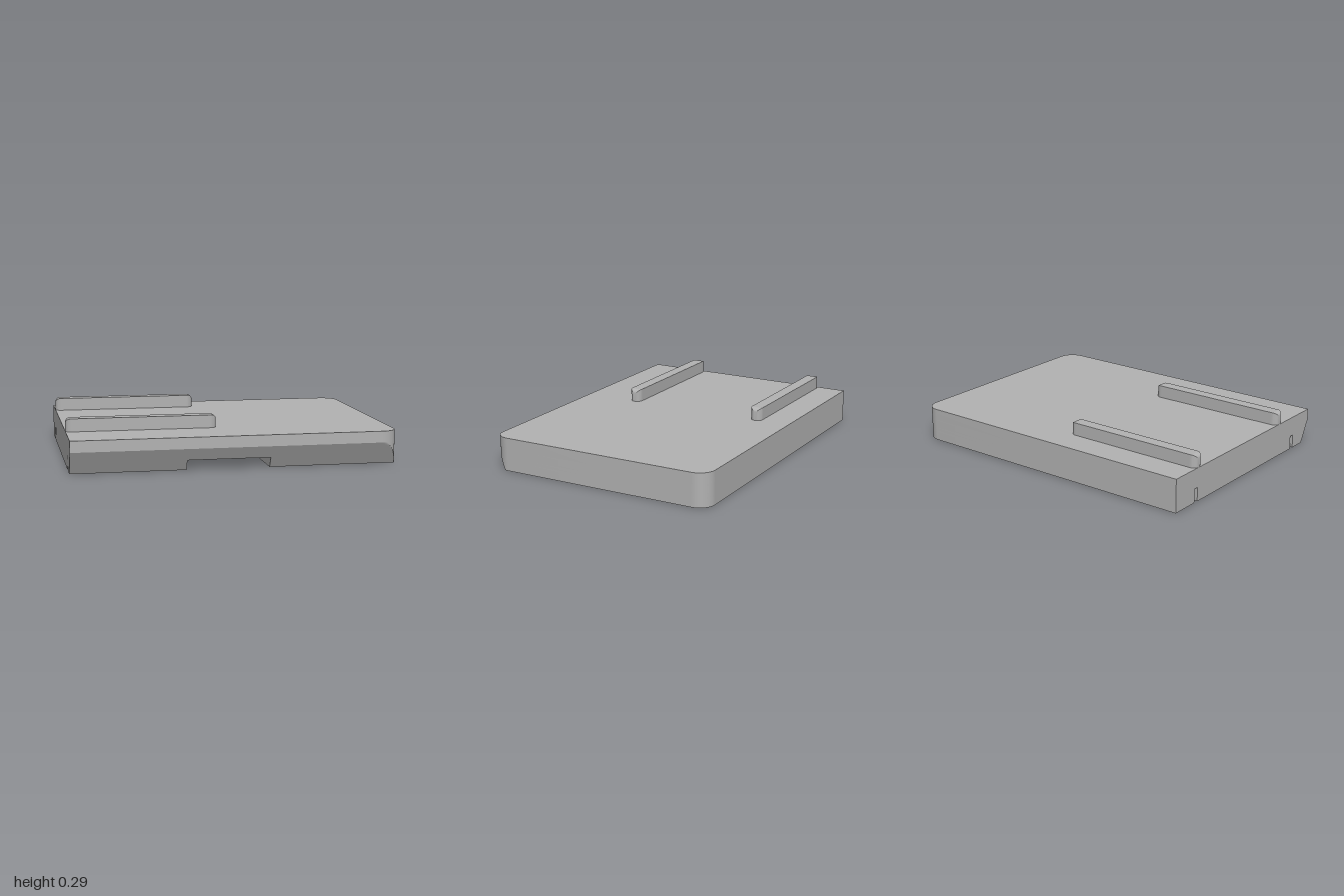
import * as THREE from 'three';
import { toCreasedNormals } from 'three/addons/utils/BufferGeometryUtils.js';

const HALF_Z = 0.74, CORNER = 0.1, TOP = 0.21, CHAMFER_Y = 0.14, CHAMFER_Z = 0.075;
const SLOT_Z = 0.54;

// Plan outline of the plate; shape y is -z.
function plateOutline(recess, slots) {
  const s = new THREE.Shape();
  const to = (x, z) => s.lineTo(x, -z);
  s.moveTo(-1, -HALF_Z);
  if (recess) {
    to(-0.3, HALF_Z);
    to(-0.3, -0.49);
    to(0.21, -0.49);
    to(0.21, HALF_Z);
  }
  to(1 - CORNER, HALF_Z);
  s.absarc(1 - CORNER, -HALF_Z + CORNER, CORNER, -Math.PI / 2, 0, false);
  to(1, -HALF_Z + CORNER);
  s.absarc(1 - CORNER, HALF_Z - CORNER, CORNER, 0, Math.PI / 2, false);
  to(-1, -HALF_Z);
  if (slots) {
    // T-shaped keyhole notches in the straight end
    for (const z of [-SLOT_Z, SLOT_Z]) {
      to(-1, z - 0.015);
      to(-0.97, z - 0.015);
      to(-0.97, z - 0.033);
      to(-0.94, z - 0.033);
      to(-0.94, z + 0.033);
      to(-0.97, z + 0.033);
      to(-0.97, z + 0.015);
      to(-1, z + 0.015);
    }
  }
  s.closePath();
  return s;
}

// One horizontal layer of the plate, trimmed by the sloping front underside.
function plateLayer(shape, y0, y1, steps) {
  const geo = new THREE.ExtrudeGeometry(shape, { depth: y1 - y0, steps, bevelEnabled: false, curveSegments: 16 });
  geo.rotateX(-Math.PI / 2);
  geo.translate(0, y0, 0);
  const p = geo.attributes.position;
  for (let i = 0; i < p.count; i++) {
    const limit = HALF_Z - CHAMFER_Z * Math.max(0, 1 - p.getY(i) / CHAMFER_Y);
    p.setZ(i, Math.min(p.getZ(i), limit));
  }
  return toCreasedNormals(geo, 0.4);
}

// Rail with round ends in plan and rounded upper end corners.
function railGeometry(length, height, width, fillet) {
  const geo = new THREE.BoxGeometry(2, 1, 1, 48, 1, 1);
  const p = geo.attributes.position;
  const r = width / 2;
  for (let i = 0; i < p.count; i++) {
    const x = (length / 2) * Math.sin(p.getX(i) * Math.PI / 2);
    const fromEnd = Math.max(0, length / 2 - Math.abs(x));
    const a = Math.max(0, r - fromEnd), b = Math.max(0, fillet - fromEnd);
    const half = Math.sqrt(Math.max(0, r * r - a * a));
    const h = height - fillet + Math.sqrt(Math.max(0, fillet * fillet - b * b));
    p.setXYZ(i, x, p.getY(i) > 0 ? h : 0, Math.sign(p.getZ(i)) * half);
  }
  return toCreasedNormals(geo, 0.5);
}

export function createModel() {
  const model = new THREE.Group();
  const grey = new THREE.MeshStandardMaterial({ color: 0xb2b2b2 });
  grey.name = 'grey';
  const add = (name, geo) => {
    const mesh = new THREE.Mesh(geo, grey);
    mesh.name = name;
    model.add(mesh);
    return mesh;
  };

  // Screw holes open into the ceiling of the underside recess
  const drilled = (slots) => {
    const s = plateOutline(false, slots);
    for (const x of [-0.2, 0.1]) for (const z of [-0.41, 0.21]) {
      s.holes.push(new THREE.Path().absarc(x, -z, 0.022, 0, Math.PI * 2, true));
    }
    return s;
  };

  // Plate, from the underside up
  add('plateRecessLayer', plateLayer(plateOutline(true, true), 0, 0.065, 6));
  add('plateSlotLayer', plateLayer(drilled(true), 0.065, 0.087, 3));
  add('plateHoleLayer', plateLayer(drilled(false), 0.087, CHAMFER_Y, 6));
  add('plateTop', plateLayer(plateOutline(false, false), CHAMFER_Y, TOP, 1));

  // Two raised rails
  const rail = railGeometry(0.93, 0.08, 0.076, 0.03);
  for (const [name, z] of [['frontRail', 0.38], ['backRail', -0.513]]) {
    add(name, rail).position.set(-0.535, TOP, z);
  }
  return model;
}
